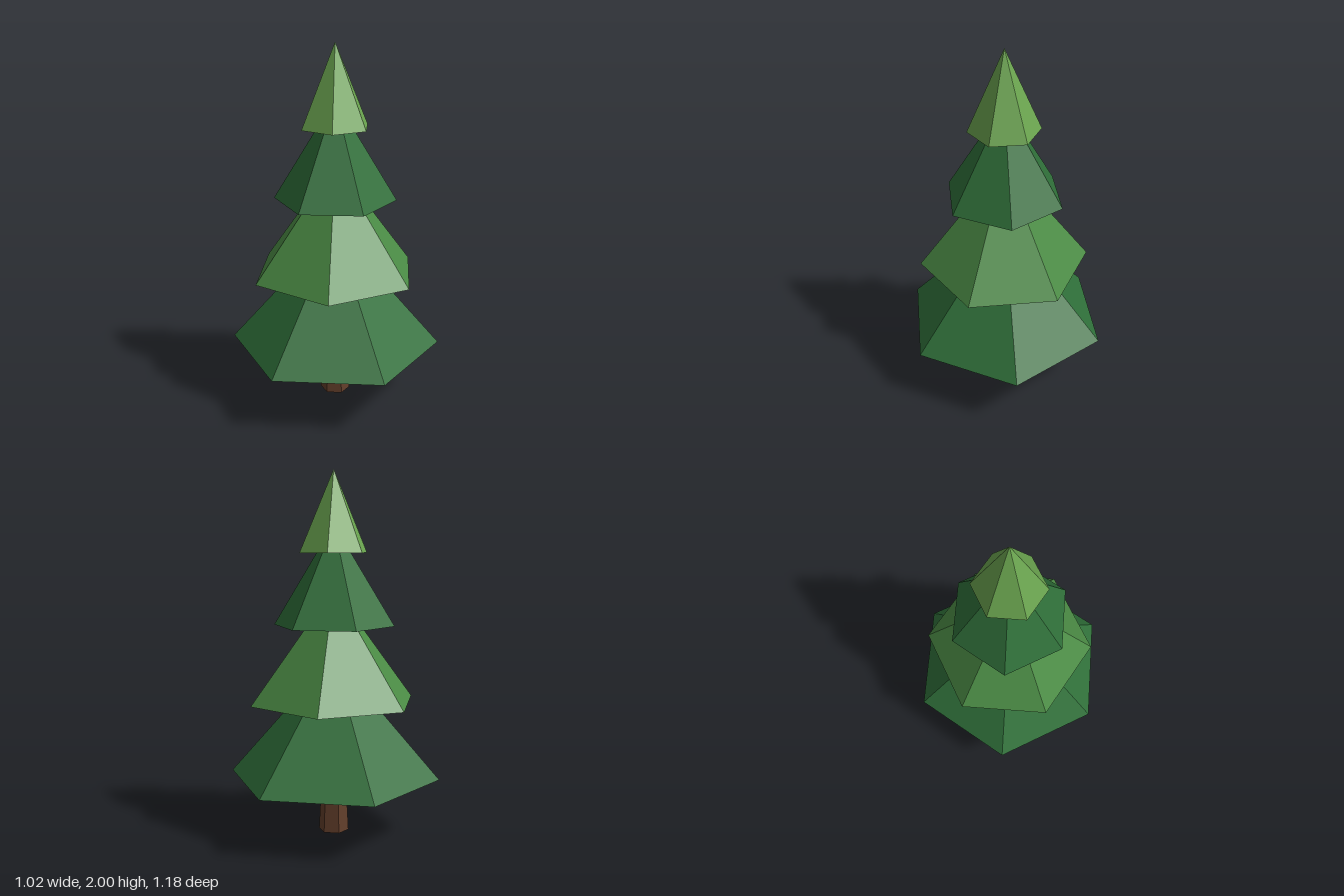
import * as THREE from 'three';

function material(name, color) {
  const m = new THREE.MeshStandardMaterial({ color, flatShading: true });
  m.name = name;
  return m;
}

export function createModel() {
  const tree = new THREE.Group();
  tree.name = 'pineTree';
  const bark = material('bark brown', 0x633f2b);
  const dark = material('dark green', 0x2f6f39);
  const mid = material('mid green', 0x4b8b45);
  const light = material('light green', 0x6ba550);

  // Tapered six-sided trunk, ending just inside the lowest tier
  const trunk = new THREE.Mesh(new THREE.CylinderGeometry(0.066, 0.084, 0.36, 6), bark);
  trunk.name = 'trunk';
  trunk.position.y = 0.18;
  tree.add(trunk);

  // Stacked six-sided foliage cones, every second one turned by half a side
  const tiers = [
    { name: 'lowestFoliage', radius: 0.59, base: 0.315, tip: 0.99, mat: dark },
    { name: 'lowerFoliage', radius: 0.475, base: 0.738, tip: 1.365, mat: mid },
    { name: 'upperFoliage', radius: 0.335, base: 1.16, tip: 1.71, mat: dark },
    { name: 'topFoliage', radius: 0.195, base: 1.556, tip: 2, mat: light },
  ];
  tiers.forEach(({ name, radius, base, tip, mat }, i) => {
    const cone = new THREE.Mesh(new THREE.ConeGeometry(radius, tip - base, 6), mat);
    cone.name = name;
    cone.position.y = (base + tip) / 2;
    cone.rotation.y = (i % 2) * Math.PI / 6;
    tree.add(cone);
  });
  return tree;
}
